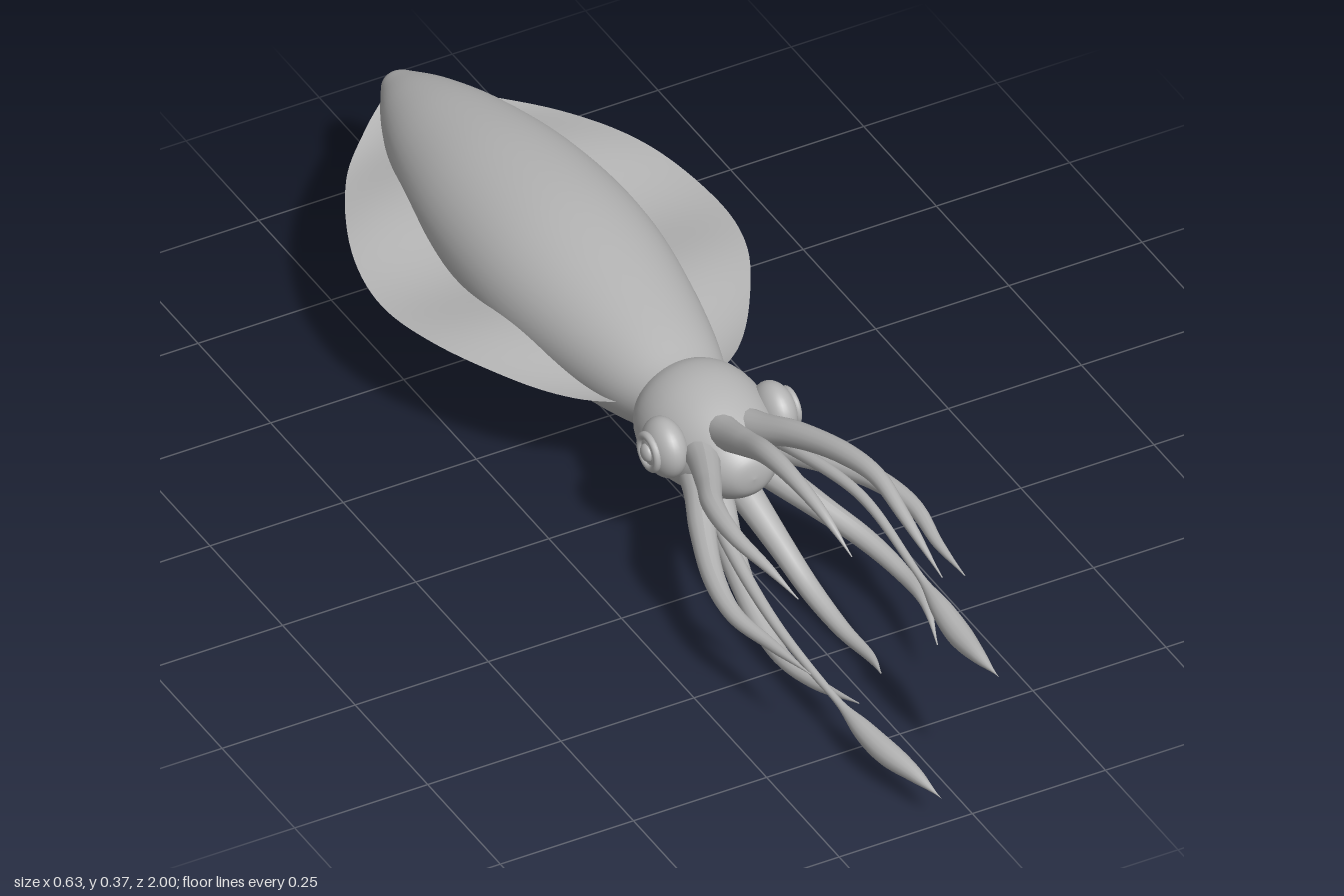
import * as THREE from 'three';

const skin = new THREE.MeshStandardMaterial({ color: 0xb4b4b4 });
skin.name = 'grey skin';
const finSkin = skin.clone();
finSkin.side = THREE.DoubleSide;

const V = (x, y, z) => new THREE.Vector3(x, y, z);

function add(group, geometry, name, material = skin) {
  const mesh = new THREE.Mesh(geometry, material);
  mesh.name = name;
  group.add(mesh);
  return mesh;
}

// Smooth round body along z from [radius, z] points listed front to back
function bodyOf(points) {
  const curve = new THREE.SplineCurve(points.map(([r, z]) => new THREE.Vector2(r, -z)));
  const profile = curve.getPoints(48);
  profile.forEach(p => { p.x = Math.max(p.x, 0); });
  return new THREE.LatheGeometry(profile, 48).rotateX(-Math.PI / 2);
}

// Tube whose radius follows evenly spaced values along its length
function taperedTube(points, radii, segments = 48, sides = 14) {
  const path = new THREE.CatmullRomCurve3(points);
  const geo = new THREE.TubeGeometry(path, segments, 1, sides);
  const pos = geo.attributes.position;
  const profile = new THREE.SplineCurve(
    radii.map((r, i) => new THREE.Vector2(i / (radii.length - 1), r)));
  const p = V(0, 0, 0);
  for (let i = 0; i <= segments; i++) {
    const centre = path.getPointAt(i / segments);
    const r = Math.max(profile.getPoint(i / segments).y, 0.0003);
    for (let j = 0; j <= sides; j++) {
      const k = i * (sides + 1) + j;
      p.fromBufferAttribute(pos, k).sub(centre).multiplyScalar(r).add(centre);
      pos.setXYZ(k, p.x, p.y, p.z);
    }
  }
  geo.computeVertexNormals();
  return geo;
}

// Broad, gently rippled fin sheet passing through the mantle
function finSheet() {
  const outline = new THREE.SplineCurve([
    [0.02, -0.975], [0.105, -0.9], [0.2, -0.79], [0.285, -0.62], [0.313, -0.46],
    [0.29, -0.31], [0.225, -0.18], [0.15, -0.08], [0.07, -0.02],
  ].map(([x, z]) => new THREE.Vector2(x, z)));
  const geo = new THREE.PlaneGeometry(2, 1, 24, 60).rotateX(-Math.PI / 2);
  const pos = geo.attributes.position;
  for (let i = 0; i < pos.count; i++) {
    const u = pos.getX(i);
    const edge = outline.getPoint(THREE.MathUtils.clamp(pos.getZ(i) + 0.5, 0, 1));
    const ripple = 0.011 * Math.sin(edge.y * 16) * Math.sin(Math.abs(u) * Math.PI * 0.85);
    pos.setXYZ(i, u * edge.x, 0.208 + ripple, edge.y);
  }
  geo.computeVertexNormals();
  return geo;
}

export function createModel() {
  const model = new THREE.Group();
  model.name = 'squid';

  // Mantle with a rolled front rim
  const mantle = add(model, bodyOf([
    [0.06, 0.0], [0.083, 0.008], [0.092, -0.015], [0.115, -0.09], [0.14, -0.2], [0.16, -0.32],
    [0.168, -0.43], [0.163, -0.55], [0.146, -0.67], [0.113, -0.8], [0.075, -0.9],
    [0.04, -0.965], [0.022, -0.992], [0, -1],
  ]), 'mantle');
  mantle.scale.y = 0.815;
  mantle.position.y = 0.21;

  add(model, finSheet(), 'fins', finSkin);

  // Head
  const head = add(model, bodyOf([
    [0, 0.25], [0.035, 0.243], [0.065, 0.215], [0.088, 0.17], [0.105, 0.12],
    [0.111, 0.07], [0.104, 0.025], [0.085, -0.01], [0.06, -0.04], [0, -0.06],
  ]), 'head');
  head.scale.y = 0.9;
  head.position.y = 0.2;

  // Siphon under the head
  add(model, taperedTube(
    [V(0, 0.15, -0.03), V(0, 0.128, 0.04), V(0, 0.119, 0.1), V(0, 0.122, 0.15)],
    [0.03, 0.034, 0.027, 0.018, 0]), 'siphon');

  // Eyes: bulging ball, iris ring and pupil
  for (const side of [-1, 1]) {
    const eye = new THREE.Group();
    eye.name = side > 0 ? 'leftEye' : 'rightEye';
    const ball = add(eye, new THREE.SphereGeometry(0.053, 32, 20), 'eyeball');
    ball.scale.z = 0.65;
    const ring = add(eye, new THREE.TorusGeometry(0.029, 0.007, 12, 32), 'irisRing');
    ring.position.z = 0.029;
    const pupil = add(eye, new THREE.SphereGeometry(0.016, 24, 14), 'pupil');
    pupil.scale.z = 0.6;
    pupil.position.z = 0.033;
    eye.position.set(side * 0.103, 0.224, 0.128);
    eye.rotation.y = side * Math.PI / 2;
    model.add(eye);
  }

  // Eight arms fanned around the mouth: angle in degrees, then tip position
  const arms = [
    [105, -0.035, 0.315, 0.65], [60, 0.08, 0.297, 0.75], [15, 0.155, 0.235, 0.69],
    [-30, 0.12, 0.085, 0.66], [-75, 0.02, 0.055, 0.65], [-120, -0.07, 0.085, 0.74],
    [-165, -0.15, 0.16, 0.72], [150, -0.13, 0.255, 0.64],
  ];
  arms.forEach(([degrees, x, y, z], i) => {
    const a = THREE.MathUtils.degToRad(degrees);
    const at = (r, depth) => V(r * Math.cos(a), 0.19 + r * Math.sin(a), depth);
    const reach = (z - 0.7) * 0.4;
    add(model, taperedTube([
      at(0.05, 0.13), at(0.078, 0.2), at(0.118, 0.28), at(0.162, 0.39 + reach),
      at(0.178, 0.49 + reach), at(0.166, 0.59 + reach), V(x, y, z),
    ], [0.032, 0.026, 0.021, 0.018, 0.014, 0.009, 0.001]), 'arm' + (i + 1));
  });

  // Two long feeding tentacles ending in clubs
  const tentacles = {
    leftTentacle: [V(0.04, 0.235, 0.15), V(0.055, 0.265, 0.28), V(0.075, 0.29, 0.48),
      V(0.065, 0.277, 0.68), V(0.055, 0.258, 0.85), V(0.05, 0.264, 0.93), V(0.05, 0.267, 1)],
    rightTentacle: [V(-0.04, 0.14, 0.15), V(-0.065, 0.11, 0.28), V(-0.09, 0.092, 0.48),
      V(-0.093, 0.078, 0.68), V(-0.083, 0.062, 0.83), V(-0.068, 0.061, 0.93), V(-0.058, 0.056, 1)],
  };
  for (const [name, path] of Object.entries(tentacles)) {
    add(model, taperedTube(path,
      [0.017, 0.014, 0.012, 0.011, 0.01, 0.009, 0.008, 0.007, 0.007, 0.018, 0.021, 0.013, 0],
      80), name);
  }

  return model;
}
